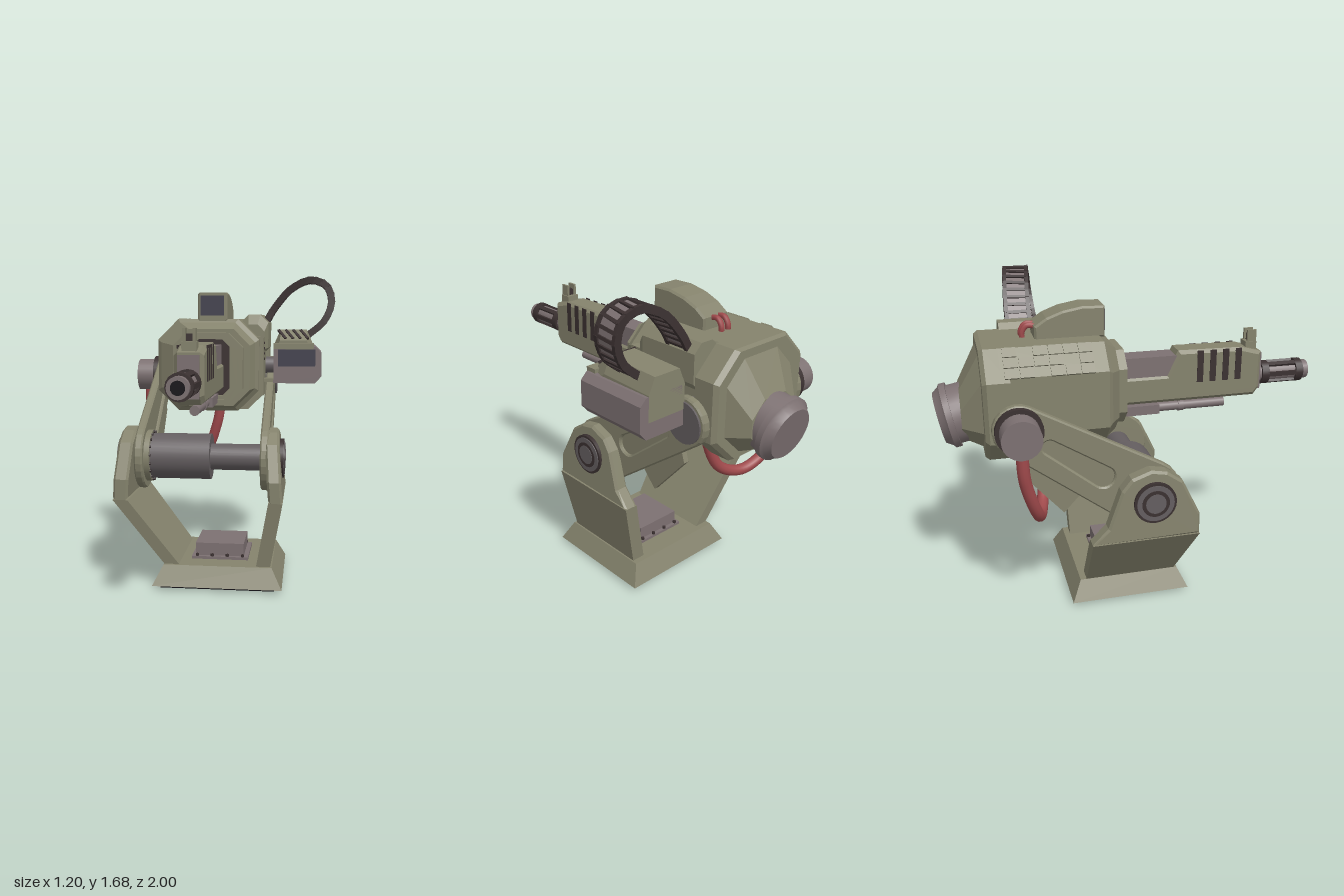
import * as THREE from 'three';
import { toCreasedNormals } from 'three/addons/utils/BufferGeometryUtils.js';

const mat = (color, flatShading = true) => new THREE.MeshStandardMaterial({ color, flatShading, side: THREE.DoubleSide });
const OLIVE = mat(0x85836d), MAUVE = mat(0x7d7172), DARK = mat(0x3b3131), LENS = mat(0x42414e), BLACK = mat(0x131116);
const STEEL = mat(0x645e60, false), MAUVE_S = mat(0x7d7172, false), OLIVE_S = mat(0x85836d, false);
const DARK_S = mat(0x3b3131, false), RED = mat(0xa04a4c, false);

export function createModel() {
  const root = new THREE.Group();
  const add = (name, geo, material) => {
    const m = new THREE.Mesh(geo, material);
    m.name = name;
    root.add(m);
    return m;
  };
  // Box given by its limits on each axis
  const box = (name, material, x0, x1, y0, y1, z0, z1) => add(name,
    new THREE.BoxGeometry(x1 - x0, y1 - y0, z1 - z0).translate((x0 + x1) / 2, (y0 + y1) / 2, (z0 + z1) / 2), material);
  const cylX = (name, material, r, x0, x1, y, z, seg = 28) => add(name,
    new THREE.CylinderGeometry(r, r, x1 - x0, seg).rotateZ(Math.PI / 2).translate((x0 + x1) / 2, y, z), material);
  const cylZ = (name, material, r, x, y, z0, z1, seg = 20) => add(name,
    new THREE.CylinderGeometry(r, r, z1 - z0, seg).rotateX(Math.PI / 2).translate(x, y, (z0 + z1) / 2), material);
  const shape = (pts) => new THREE.Shape(pts.map(([a, b]) => new THREE.Vector2(a, b)));
  // Side profile (z, y) extruded from x0 to x1
  const plateX = (pts, x0, x1, bevel = 0, hole = null) => {
    const s = shape(pts);
    if (hole) s.holes.push(shape(hole));
    return new THREE.ExtrudeGeometry(s, {
      depth: x1 - x0 - 2 * bevel, bevelEnabled: bevel > 0, bevelSize: bevel, bevelOffset: -bevel,
      bevelThickness: bevel, bevelSegments: 1,
    }).rotateY(-Math.PI / 2).translate(x1 - bevel, 0, 0);
  };
  // Chamfered rectangle, counter-clockwise
  const oct = (x0, x1, y0, y1, c) => [[x0 + c, y0], [x1 - c, y0], [x1, y0 + c], [x1, y1 - c],
    [x1 - c, y1], [x0 + c, y1], [x0, y1 - c], [x0, y0 + c]];
  // Skin over convex [z, outline] sections, ordered back to front
  const loft = (sections) => {
    const rings = sections.map(([z, pts]) => pts.map(([x, y]) => [x, y, z]));
    const n = rings[0].length, last = rings[rings.length - 1], pos = [];
    const tri = (...v) => v.forEach((p) => pos.push(...p));
    for (let i = 0; i < rings.length - 1; i++) for (let j = 0; j < n; j++) {
      const k = (j + 1) % n, a = rings[i], b = rings[i + 1];
      tri(a[j], a[k], b[k]);
      tri(a[j], b[k], b[j]);
    }
    for (let j = 1; j < n - 1; j++) {
      tri(last[0], last[j], last[j + 1]);
      tri(rings[0][0], rings[0][j + 1], rings[0][j]);
    }
    const g = new THREE.BufferGeometry();
    g.setAttribute('position', new THREE.Float32BufferAttribute(pos, 3));
    g.computeVertexNormals();
    return g;
  };
  // Outline around two circles
  const hull = (ax, ay, ar, bx, by, br) => {
    const phi = Math.atan2(by - ay, bx - ax), al = Math.acos((ar - br) / Math.hypot(bx - ax, by - ay)), pts = [];
    for (let i = 0; i <= 14; i++) {
      const t = phi + al + (2 * Math.PI - 2 * al) * i / 14;
      pts.push([ax + ar * Math.cos(t), ay + ar * Math.sin(t)]);
    }
    for (let i = 0; i <= 10; i++) {
      const t = phi - al + 2 * al * i / 10;
      pts.push([bx + br * Math.cos(t), by + br * Math.sin(t)]);
    }
    return pts;
  };

  // Base
  box('basePad', BLACK, -0.32, 0.29, 0, 0.02, -0.33, 0.23);
  const baseGeo = new THREE.BoxGeometry(0.69, 0.105, 0.64);
  const bp = baseGeo.attributes.position;
  for (let i = 0; i < bp.count; i++) if (bp.getY(i) > 0) bp.setXYZ(i, bp.getX(i) * 0.84, bp.getY(i), bp.getZ(i) * 0.84);
  add('base', baseGeo.translate(-0.015, 0.0725, -0.05), OLIVE);
  box('baseFlange', MAUVE, -0.17, 0.14, 0.12, 0.14, -0.2, 0.1);
  box('baseBox', MAUVE, -0.15, 0.115, 0.14, 0.21, -0.18, 0.08);
  for (let i = 0; i < 4; i++) for (const z of [-0.19, 0.09])
    add('baseBolt', new THREE.CylinderGeometry(0.009, 0.009, 0.015, 8).translate(-0.14 + i * 0.083, 0.145, z), DARK);

  // Fork brackets: upright cheek above, leaning foot below
  const cheek = [[-0.3, 0.48], [0.25, 0.48], [0.25, 0.59], [0.16, 0.775], [0.08, 0.83], [0, 0.845], [-0.1, 0.81], [-0.15, 0.75], [-0.22, 0.56]];
  const foot = [[-0.285, 0.1], [0.2, 0.1], [0.25, 0.48], [-0.3, 0.48]];
  const lean = (g, k) => {
    const p = g.attributes.position;
    for (let i = 0; i < p.count; i++) p.setX(i, p.getX(i) + k * (0.48 - p.getY(i)));
    g.computeVertexNormals();
    return g;
  };
  for (const [x0, x1, kFoot, kCheek] of [[-0.57, -0.49, 0.75, -0.05], [0.255, 0.33, -0.18, 0.08]]) {
    add('forkCheek', lean(plateX(cheek, x0, x1, 0.012), kCheek), OLIVE);
    add('forkFoot', lean(plateX(foot, x0, x1), kFoot), OLIVE);
  }
  // Pivot caps on both cheeks
  for (const [s, x] of [[-1, -0.55], [1, 0.305]]) {
    const cap = (name, m, r, d) => cylX(name, m, r, Math.min(x, x + s * d), Math.max(x, x + s * d), 0.68, 0.015);
    cap('pivotRim', DARK_S, 0.108, 0.022);
    cap('pivotCap', STEEL, 0.095, 0.027);
    cap('pivotRing', DARK_S, 0.07, 0.029);
    cap('pivotBolt', STEEL, 0.052, 0.031);
  }

  // Axle
  cylX('axle', STEEL, 0.072, -0.5, 0.27, 0.68, 0.005, 32);
  cylX('axleDrum', STEEL, 0.125, -0.4, -0.07, 0.68, 0, 32);
  cylX('axleFlange', OLIVE_S, 0.142, -0.43, -0.395, 0.68, 0, 32);
  for (let i = 0; i < 18; i++) {
    const a = i * Math.PI / 9;
    cylX('flangeBolt', DARK, 0.008, -0.4, -0.387, 0.68 + 0.133 * Math.cos(a), 0.133 * Math.sin(a), 6);
  }

  // Swing arms with a recessed pocket and an underside rib
  const armOutline = hull(0, 0.68, 0.18, -0.62, 1.08, 0.125);
  const pocket = hull(-0.22, 0.8, 0.055, -0.48, 0.985, 0.035);
  const rib = [[-0.3, 0.76], [-0.42, 0.63], [-0.62, 0.86], [-0.58, 0.98]];
  for (const [x0, x1] of [[-0.47, -0.425], [0.205, 0.25]]) {
    add('arm', plateX(armOutline, x0, x1, 0.008, pocket), OLIVE);
    add('armPocketFloor', plateX(pocket, x0 + 0.017, x1 - 0.017), OLIVE);
    add('armRib', plateX(rib, x0 + 0.008, x1 - 0.008), OLIVE);
  }
  cylX('armEndCap', STEEL, 0.105, 0.16, 0.26, 1.08, -0.62);
  // Elevation motor on the right arm end
  cylX('motor', MAUVE_S, 0.095, -0.6, -0.38, 1.085, -0.62);
  cylX('motorRingOuter', DARK_S, 0.115, -0.5, -0.47, 1.085, -0.62);
  cylX('motorRingInner', DARK_S, 0.105, -0.42, -0.395, 1.085, -0.62);

  // Housing, rear collar and tail
  add('housing', loft([[-0.68, oct(-0.395, 0.175, 0.915, 1.43, 0.115)], [-0.17, oct(-0.395, 0.175, 0.915, 1.43, 0.115)],
    [-0.15, oct(-0.375, 0.155, 0.935, 1.41, 0.11)], [-0.1, oct(-0.3, 0.13, 0.95, 1.375, 0.09)]]), OLIVE);
  add('rearCollar', loft([[-0.77, oct(-0.39, 0.19, 0.88, 1.42, 0.13)], [-0.75, oct(-0.41, 0.21, 0.87, 1.43, 0.13)],
    [-0.64, oct(-0.41, 0.21, 0.87, 1.43, 0.13)]]), OLIVE);
  add('rearDome', loft([[-0.87, oct(-0.24, 0.07, 0.95, 1.2, 0.08)], [-0.77, oct(-0.31, 0.14, 0.91, 1.38, 0.11)]]), OLIVE);
  const tailProfile = [[0, 0], [0.15, 0], [0.15, 0.09], [0.165, 0.09], [0.165, 0.12], [0.15, 0.13], [0.13, 0.16], [0, 0.16]];
  add('tailCap', toCreasedNormals(new THREE.LatheGeometry(tailProfile.map((p) => new THREE.Vector2(...p)), 28), 0.5)
    .rotateX(-Math.PI / 2 - 0.2).translate(-0.085, 1.07, -0.815), MAUVE_S);

  // Stepped bezel round the gun opening
  const ring = (o, i, z0, z1) => {
    const s = shape(o);
    s.holes.push(shape(i));
    return new THREE.ExtrudeGeometry(s, { depth: z1 - z0, bevelEnabled: false }).translate(0, 0, z0);
  };
  add('bezel', ring(oct(-0.265, 0.095, 0.97, 1.355, 0.08), oct(-0.23, 0.06, 0.99, 1.335, 0.07), -0.13, -0.05), OLIVE);
  add('bezelInner', ring(oct(-0.23, 0.06, 0.99, 1.335, 0.07), oct(-0.19, 0.02, 1.01, 1.32, 0.04), -0.13, -0.07), OLIVE);
  box('opening', DARK, -0.19, 0.02, 1.01, 1.32, -0.12, -0.095);
  // Armour tiles over the right top chamfer
  for (let i = 0; i < 6; i++) for (let j = 0; j < 3; j++) {
    if ((i * 2 + j) % 5 === 4) continue;
    const tile = add('armourTile', new THREE.BoxGeometry(0.05, 0.018, 0.065), OLIVE);
    tile.position.set(-0.378 + j * 0.04, 1.33 + j * 0.04, -0.63 + i * 0.072);
    tile.rotation.z = Math.PI / 4;
  }
  // Vented side pack
  box('sidePack', OLIVE, 0.15, 0.2, 1.0, 1.33, -0.42, -0.2);
  for (let i = 0; i < 4; i++) box('packVent', DARK, 0.19, 0.204, 1.2 + i * 0.03, 1.212 + i * 0.03, -0.28, -0.22);

  // Hose housing
  add('hoseHousing', loft([[-0.64, oct(0.06, 0.22, 1.22, 1.455, 0.045)], [-0.3, oct(0.06, 0.22, 1.22, 1.455, 0.045)],
    [-0.26, oct(0.07, 0.2, 1.22, 1.4, 0.04)]]), OLIVE);

  // Sight on top
  add('sight', plateX([[-0.14, 1.42], [-0.14, 1.575], [-0.25, 1.578], [-0.35, 1.56], [-0.43, 1.53], [-0.49, 1.49], [-0.49, 1.42]]
    .reverse(), -0.165, 0, 0.01), OLIVE);
  box('sightLens', LENS, -0.148, -0.017, 1.45, 1.558, -0.16, -0.136);
  for (const x of [-0.105, -0.06]) add('sightCable', new THREE.TubeGeometry(new THREE.CatmullRomCurve3(
    [[-0.47, 1.48], [-0.52, 1.485], [-0.545, 1.45], [-0.54, 1.41]].map(([z, y]) => new THREE.Vector3(x, y, z))), 12, 0.014, 8), RED);

  // Gun
  add('receiver', plateX([[-0.11, 1.04], [0.68, 1.04], [0.71, 1.08], [0.71, 1.28], [0.6, 1.31], [0.25, 1.315], [0.19, 1.19], [-0.11, 1.19]],
    -0.155, -0.015, 0.018), OLIVE);
  box('slide', MAUVE, -0.143, -0.027, 1.16, 1.29, -0.11, 0.27);
  box('muzzlePlate', MAUVE, -0.135, -0.035, 1.07, 1.27, 0.7, 0.718);
  for (let i = 0; i < 4; i++) for (const x of [-0.157, -0.017])
    box('receiverVent', DARK, x, x + 0.004, 1.14, 1.31, 0.352 + i * 0.07, 0.386 + i * 0.07);
  for (const x of [-0.115, -0.068]) box('frontSight', OLIVE, x, x + 0.013, 1.28, 1.39, 0.64, 0.69);
  box('frontSightBase', OLIVE, -0.12, -0.05, 1.27, 1.33, 0.63, 0.69);
  box('frontSightPost', DARK, -0.1, -0.07, 1.33, 1.365, 0.65, 0.68);
  // Barrel with slotted shroud
  cylZ('barrel', MAUVE_S, 0.05, -0.085, 1.145, 0.68, 1);
  cylZ('muzzleBore', BLACK, 0.032, -0.085, 1.145, 0.99, 1.001);
  for (const [z0, z1] of [[0.73, 0.77], [0.925, 0.965]]) cylZ('shroudRing', DARK_S, 0.063, -0.085, 1.145, z0, z1, 16);
  for (let i = 0; i < 6; i++) {
    const a = (i + 0.5) * Math.PI / 3;
    const bar = box('shroudBar', DARK, -0.012, 0.012, 0.043, 0.061, 0.76, 0.93);
    bar.position.set(-0.085, 1.145, 0);
    bar.rotation.z = a;
  }
  // Rod under the receiver
  box('underRail', MAUVE, -0.125, -0.045, 0.97, 1.02, -0.1, 0.16);
  cylZ('underRod', MAUVE_S, 0.025, -0.085, 0.995, 0.1, 0.53, 14);
  cylZ('underRodTip', MAUVE_S, 0.03, -0.085, 0.995, 0.27, 0.3, 14);

  // Sensor pod
  const podTop = (y) => [[0.255, 1.15], [0.475, 1.15], [0.475, y - 0.08], [0.44, y], [0.29, y], [0.255, y - 0.08]];
  add('podShell', loft([[-0.62, podTop(1.36)], [-0.32, podTop(1.37)], [-0.24, podTop(1.31)]]), OLIVE);
  const podLow = [[0.255, 1.07], [0.49, 1.07], [0.525, 1.11], [0.525, 1.24], [0.49, 1.275], [0.255, 1.275]];
  add('podBody', loft([[-0.62, podLow], [-0.21, podLow]]), MAUVE);
  box('podLens', LENS, 0.28, 0.49, 1.165, 1.26, -0.22, -0.205);
  box('podBrow', OLIVE, 0.255, 0.48, 1.262, 1.295, -0.26, -0.2);
  for (let i = 0; i < 4; i++) {
    const slat = add('podSlat', new THREE.BoxGeometry(0.014, 0.012, 0.09), DARK);
    slat.position.set(0.3 + i * 0.042, 1.343, -0.283);
    slat.rotation.set(0.64, 0.5, 0);
  }
  cylX('podMount', STEEL, 0.05, 0.15, 0.27, 1.16, -0.45);
  box('podStrut', OLIVE, 0.15, 0.27, 1.075, 1.095, -0.3, -0.24);

  // Link chain hose from housing to pod
  const chain = new THREE.CatmullRomCurve3([[0.19, 1.4, -0.525], [0.25, 1.5, -0.525], [0.35, 1.61, -0.515], [0.46, 1.655, -0.5], [0.55, 1.62, -0.485],
    [0.58, 1.53, -0.475], [0.54, 1.42, -0.465], [0.44, 1.33, -0.46]].map((p) => new THREE.Vector3(...p)));
  const links = 20, linkLen = chain.getLength() / links;
  for (let i = 0; i < links; i++) {
    const u = (i + 0.5) / links, t = chain.getTangentAt(u), w = new THREE.Vector3(0, 0, 1);
    w.addScaledVector(t, -w.dot(t)).normalize();
    const link = new THREE.Group();
    link.name = 'chainLink';
    const part = (m, l, h, d, x, z) => {
      const p = new THREE.Mesh(new THREE.BoxGeometry(l, h, d), m);
      p.position.set(x, 0, z);
      link.add(p);
    };
    for (const z of [-0.058, 0.058]) part(DARK, linkLen * 1.2, 0.038, 0.02, 0, z);
    part(DARK, 0.016, 0.036, 0.12, linkLen / 2, 0);
    part(MAUVE, linkLen, 0.02, 0.1, 0, 0);
    link.quaternion.setFromRotationMatrix(new THREE.Matrix4().makeBasis(t, w.clone().cross(t), w));
    link.position.copy(chain.getPointAt(u));
    root.add(link);
  }

  // Red power hose from motor to housing belly
  const hose = new THREE.CatmullRomCurve3([[-0.54, 1.02, -0.62], [-0.53, 0.85, -0.61], [-0.46, 0.64, -0.55], [-0.32, 0.57, -0.515],
    [-0.17, 0.63, -0.48], [-0.095, 0.8, -0.455], [-0.07, 0.93, -0.45]].map((p) => new THREE.Vector3(...p)));
  add('powerHose', new THREE.TubeGeometry(hose, 48, 0.03, 12), RED);
  add('hoseSocket', new THREE.CylinderGeometry(0.06, 0.045, 0.04, 16).translate(-0.07, 0.905, -0.45), DARK_S);
  return root;
}
